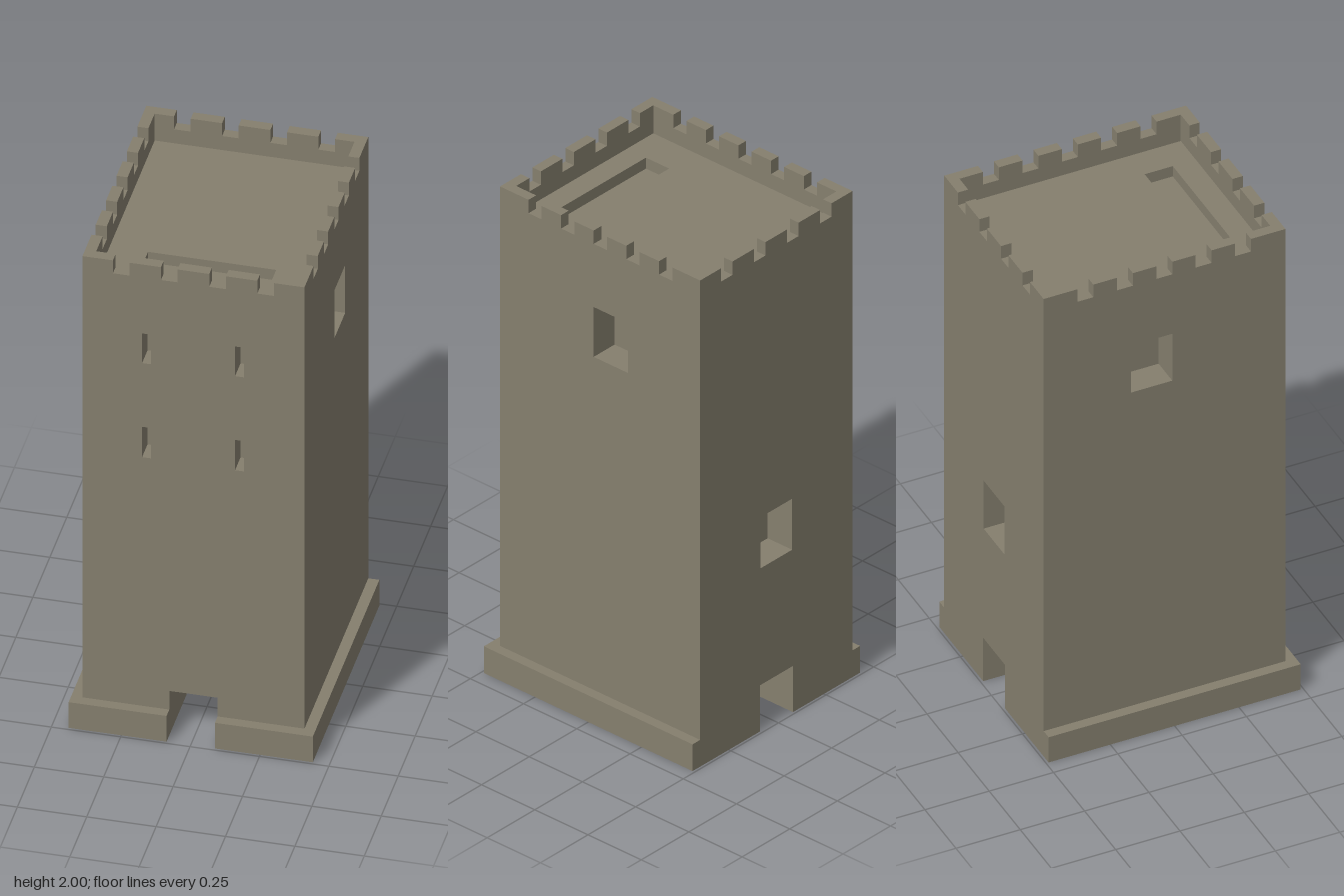
import * as THREE from 'three';

const stone = new THREE.MeshStandardMaterial({ color: 0x857f6e });
stone.name = 'stone';

// Axis-aligned block from min/max pairs
function block(name, [x0, x1], [y0, y1], [z0, z1]) {
  const g = new THREE.BoxGeometry(x1 - x0, y1 - y0, z1 - z0);
  g.translate((x0 + x1) / 2, (y0 + y1) / 2, (z0 + z1) / 2);
  return named(name, g);
}

function named(name, geometry) {
  const mesh = new THREE.Mesh(geometry, stone);
  mesh.name = name;
  return mesh;
}

const rect = (x0, x1, y0, y1) => [[x0, y0], [x1, y0], [x1, y1], [x0, y1]];
const vectors = (pts) => pts.map(([x, y]) => new THREE.Vector2(x, y));

// Extruded outline with openings, from z = 0 to z = depth
function slab(outline, openings, depth) {
  const shape = new THREE.Shape(vectors(outline));
  for (const o of openings) shape.holes.push(new THREE.Path(vectors(o)));
  return new THREE.ExtrudeGeometry(shape, { depth, bevelEnabled: false });
}

// Outline running along the top with gaps cut between the merlons
function crenellated(u0, u1, gaps) {
  const pts = [[u0, ROOF], [u1, ROOF], [u1, 2]];
  for (const [a, b] of [...gaps].reverse()) pts.push([b, 2], [b, 1.945], [a, 1.945], [a, 2]);
  pts.push([u0, 2]);
  return pts;
}

const ROOF = 1.885, SLAB = 1.84;        // roof surface, underside of roof slab
const W = 0.4, FRONT = 0.45, BACK = -0.49;
const DOOR = 0.087, DOOR_TOP = 0.19, PLINTH = 0.11;

export function createModel() {
  const tower = new THREE.Group();
  tower.name = 'tower';

  // Plinth halves with grooved undersides, and the passage walls above them
  for (const s of [-1, 1]) {
    const span = (a, b) => (s > 0 ? [a, b] : [-b, -a]);
    const [x0, x1] = span(DOOR, 0.44);
    const comb = [[x0, PLINTH], [x0, 0]];
    const grooves = [0.13, 0.23, 0.33].map((a) => span(a, a + 0.06)).sort((p, q) => p[0] - q[0]);
    for (const [a, b] of grooves) comb.push([a, 0], [a, 0.07], [b, 0.07], [b, 0]);
    comb.push([x1, 0], [x1, PLINTH]);
    tower.add(named('plinth', slab(comb, [], 0.9).translate(0, 0, -0.45)));
    tower.add(block('plinthFrontEnd', [x0, x1], [0, PLINTH], [0.45, 0.49]));
    tower.add(block('plinthBackEnd', [x0, x1], [0, PLINTH], [-0.49, -0.45]));
    tower.add(block('passageWall', span(DOOR, W), [PLINTH, DOOR_TOP], [BACK, FRONT]));
  }

  // Solid core behind the recessed openings
  tower.add(block('core', [-0.29, 0.29], [DOOR_TOP, SLAB], [-0.375, 0.37]));

  // Front wall with four arrow slits
  const slits = [];
  for (const [a, b] of [[-0.185, -0.153], [0.15, 0.182]])
    for (const [c, d] of [[1.175, 1.305], [1.578, 1.705]]) slits.push(rect(a, b, c, d));
  tower.add(named('frontWall',
    slab(rect(-W, W, DOOR_TOP, SLAB), slits, 0.08).translate(0, 0, 0.37)));

  // Back wall with one window
  tower.add(named('backWall',
    slab(rect(-W, W, DOOR_TOP, SLAB), [rect(-0.083, 0.083, 0.67, 0.88)], 0.115).translate(0, 0, BACK)));

  // Side walls, each with a window
  for (const x of [W, -0.29]) {
    const wall = slab(rect(-0.375, 0.37, DOOR_TOP, SLAB), [rect(-0.15, 0.01, 1.48, 1.685)], 0.11);
    tower.add(named('sideWall', wall.rotateY(-Math.PI / 2).translate(x, 0, 0)));
  }

  // Roof slab with a long slot near the front
  tower.add(named('roof',
    slab(rect(-W, W, BACK, FRONT), [rect(-0.222, 0.24, 0.212, 0.321)], ROOF - SLAB)
      .rotateX(Math.PI / 2).translate(0, ROOF, 0)));

  // Battlements on all four sides
  const endGaps = [[-0.29, -0.23], [-0.117, -0.057], [0.057, 0.117], [0.23, 0.29]];
  for (const z of [BACK, FRONT - 0.04])
    tower.add(named('endBattlement', slab(crenellated(-W, W, endGaps), [], 0.04).translate(0, 0, z)));
  const sideGaps = [-0.359, -0.205, -0.052, 0.101, 0.254].map((a) => [a, a + 0.062]);
  for (const x of [W, -W + 0.04])
    tower.add(named('sideBattlement',
      slab(crenellated(BACK + 0.04, FRONT - 0.04, sideGaps), [], 0.04)
        .rotateY(-Math.PI / 2).translate(x, 0, 0)));

  return tower;
}
